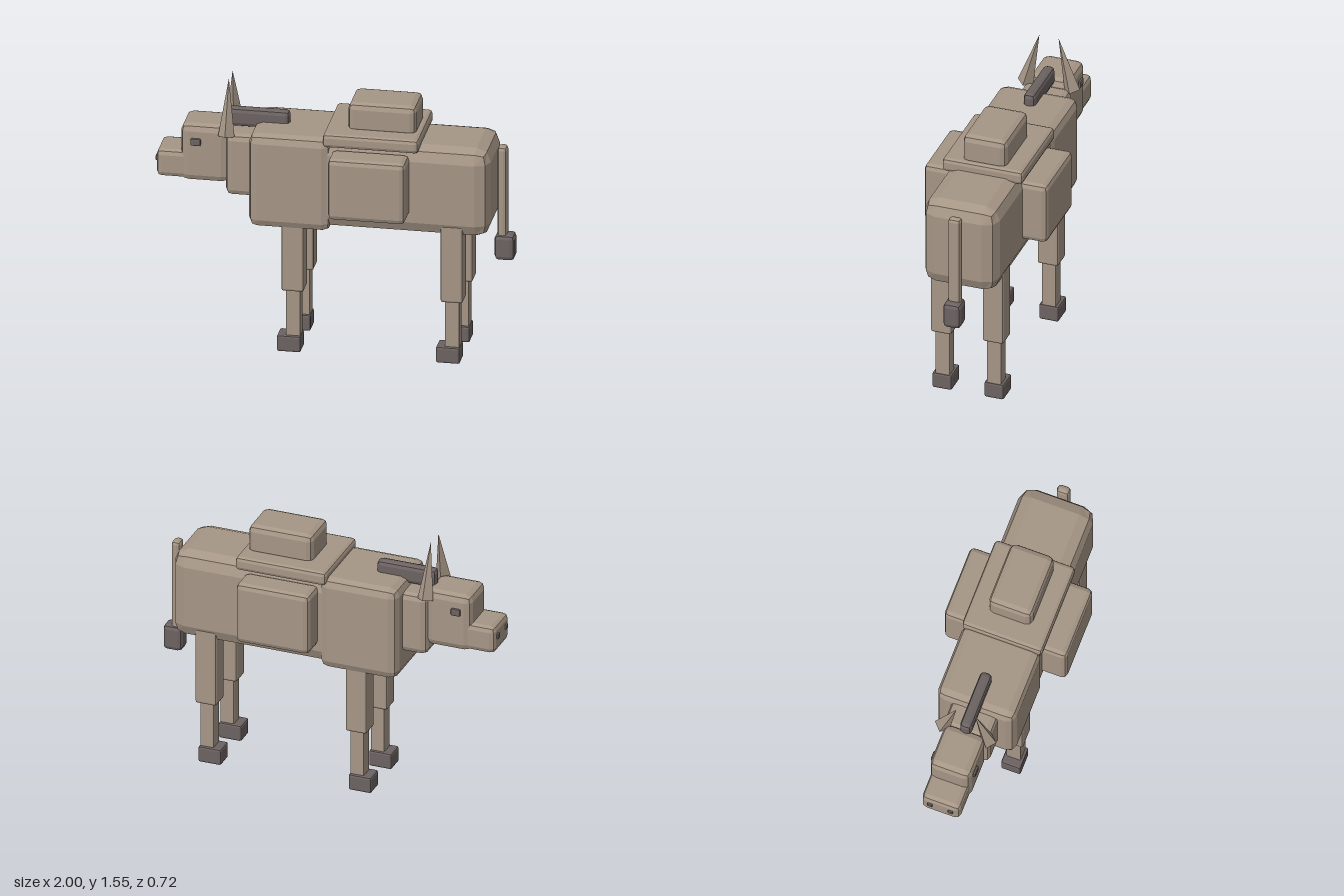
import * as THREE from 'three';
import { RoundedBoxGeometry } from 'three/addons/geometries/RoundedBoxGeometry.js';

export function createModel() {
  const model = new THREE.Group();
  model.name = 'packAnimal';

  const hide = new THREE.MeshStandardMaterial({ color: 0xa69686 });
  hide.name = 'taupe hide';
  const dark = new THREE.MeshStandardMaterial({ color: 0x6c6362 });
  dark.name = 'dark grey horn';

  // Box with faceted bevels, given by its [min, max] range on each axis
  function block(name, material, [x0, x1], [y0, y1], [z0, z1], bevel) {
    const geometry = new RoundedBoxGeometry(x1 - x0, y1 - y0, z1 - z0, 1, bevel);
    geometry.computeVertexNormals(); // unshared corners give flat facets
    const mesh = new THREE.Mesh(geometry, material);
    mesh.name = name;
    mesh.position.set((x0 + x1) / 2, (y0 + y1) / 2, (z0 + z1) / 2);
    model.add(mesh);
    return mesh;
  }

  // Same block on both flanks; the z range is given for the +z side
  function pair(name, material, x, y, [z0, z1], bevel) {
    block(name + 'Near', material, x, y, [z0, z1], bevel);
    block(name + 'Far', material, x, y, [-z1, -z0], bevel);
  }

  // Trunk, neck and head
  block('body', hide, [-0.1, 0.885], [0.755, 1.278], [-0.218, 0.218], 0.08);
  block('chest', hide, [-0.457, 0.003], [0.738, 1.292], [-0.23, 0.23], 0.05);
  block('neck', hide, [-0.6, -0.4], [0.88, 1.243], [-0.136, 0.136], 0.035);
  block('head', hide, [-0.853, -0.585], [0.942, 1.281], [-0.12, 0.12], 0.04);
  block('snout', hide, [-0.99, -0.78], [0.953, 1.114], [-0.112, 0.112], 0.03);
  block('mane', dark, [-0.61, -0.26], [1.25, 1.36], [-0.034, 0.034], 0.025);
  pair('eye', dark, [-0.795, -0.738], [1.16, 1.203], [0.105, 0.132], 0.008);
  pair('nostril', dark, [-1, -0.975], [1.035, 1.065], [0.045, 0.075], 0.006);

  // Four-sided horns leaning inwards
  for (const side of [1, -1]) {
    const geometry = new THREE.ConeGeometry(0.046, 0.325, 4).toNonIndexed();
    geometry.computeVertexNormals();
    const horn = new THREE.Mesh(geometry, hide);
    horn.name = side > 0 ? 'hornNear' : 'hornFar';
    horn.position.set(-0.593, 1.392, side * 0.096);
    horn.rotation.x = -side * 0.25;
    model.add(horn);
  }

  // Saddle and packs
  block('saddleBlanket', hide, [-0.04, 0.495], [1.25, 1.33], [-0.235, 0.235], 0.022);
  block('topPack', hide, [0.082, 0.463], [1.3, 1.48], [-0.128, 0.128], 0.035);
  pair('sidePack', hide, [0.01, 0.443], [0.872, 1.235], [0.19, 0.36], 0.03);

  // Legs with hooves
  for (const [name, x] of [['front', -0.211], ['hind', 0.677]]) {
    pair(name + 'UpperLeg', hide, [x - 0.063, x + 0.063], [0.367, 0.83], [0.09, 0.213], 0.014);
    pair(name + 'LowerLeg', hide, [x - 0.04, x + 0.04], [0.05, 0.42], [0.108, 0.192], 0.006);
    pair(name + 'Hoof', dark, [x - 0.089, x + 0.046], [0.003, 0.099], [0.094, 0.209], 0.012);
  }

  // Tail
  block('tail', hide, [0.9, 0.953], [0.68, 1.242], [-0.037, 0.037], 0.02);
  block('tailTuft', dark, [0.885, 0.997], [0.57, 0.722], [-0.051, 0.051], 0.025);

  return model;
}
